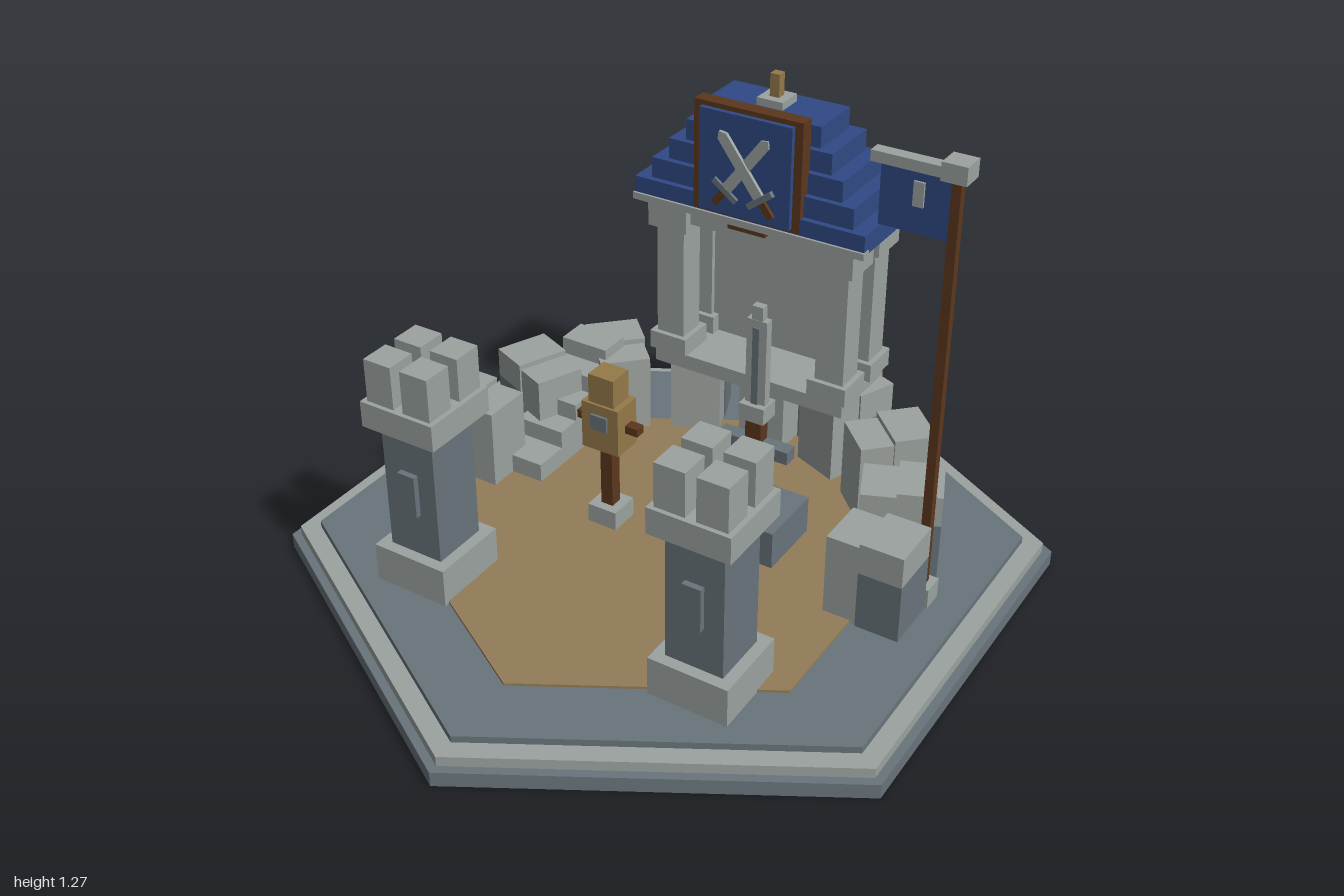
import * as THREE from 'three';

const mat = (name, color) => {
  const m = new THREE.MeshStandardMaterial({ color });
  m.name = name;
  return m;
};

export function createModel() {
  const root = new THREE.Group();
  root.name = 'trainingGround';
  const light = mat('light stone', 0x9ca39f);
  const dark = mat('dark stone', 0x69747b);
  const blue = mat('blue cloth', 0x304a85);
  const sand = mat('sand', 0x927d58);
  const wood = mat('wood', 0x5c371d);
  const straw = mat('straw', 0x957a4a);

  const group = (name, x = 0, y = 0, z = 0, parent = root) => {
    const g = new THREE.Group();
    g.name = name;
    g.position.set(x, y, z);
    parent.add(g);
    return g;
  };
  // box given by its ranges in x, y and z
  const box = (parent, name, m, x0, x1, y0, y1, z0, z1) => {
    const b = new THREE.Mesh(new THREE.BoxGeometry(x1 - x0, y1 - y0, z1 - z0), m);
    b.position.set((x0 + x1) / 2, (y0 + y1) / 2, (z0 + z1) / 2);
    b.name = name;
    parent.add(b);
    return b;
  };
  // box centred on the group's axis
  const block = (parent, name, m, w, y0, y1, d = w) =>
    box(parent, name, m, -w / 2, w / 2, y0, y1, -d / 2, d / 2);
  const hex = (name, m, r, y0, y1, z = 0) => {
    const g = new THREE.CylinderGeometry(r, r, y1 - y0, 6).toNonIndexed();
    g.computeVertexNormals();
    const h = new THREE.Mesh(g, m);
    h.position.set(0, (y0 + y1) / 2, z);
    h.name = name;
    root.add(h);
  };

  // Hexagonal ground
  hex('basePlate', dark, 1, 0, 0.04);
  hex('baseRim', light, 0.975, 0.04, 0.067);
  hex('groundSlab', dark, 0.92, 0.067, 0.085);
  hex('sandFloor', sand, 0.663, 0.085, 0.092, 0.058);

  // Two front towers
  for (const s of [-1, 1]) {
    const t = group('tower', s * 0.402, 0, 0.458);
    block(t, 'towerFoot', light, 0.213, 0.085, 0.19);
    block(t, 'towerShaft', dark, 0.153, 0.19, 0.54);
    block(t, 'towerTop', light, 0.215, 0.54, 0.61);
    for (const i of [-1, 1]) for (const j of [-1, 1]) {
      const m = block(t, 'merlon', light, 0.08, 0.61, 0.725);
      m.position.x = i * 0.054;
      m.position.z = j * 0.056;
    }
    box(t, 'arrowSlit', dark, -0.025, 0.025, 0.31, 0.427, 0.07, 0.092);
  }

  // Half ring of wall stones
  for (let i = 0; i <= 8; i++) {
    const a = i * Math.PI / 8;
    const s = group('wallStone', Math.cos(a) * 0.59, 0, 0.02 - Math.sin(a) * 0.59);
    s.rotation.y = a;
    box(s, 'outerStone', dark, 0, 0.115, 0.085, 0.245, -0.075, 0.075);
    box(s, 'capStone', light, 0, 0.115, 0.245, 0.33, -0.075, 0.075);
    box(s, 'innerStone', light, -0.09, 0.01, 0.085, 0.315, -0.07, 0.07);
  }

  // Stairs along the left-hand wall
  const stairs = group('stairs');
  const edges = [0.01, -0.09, -0.16, -0.235, -0.31, -0.4];
  for (let i = 0; i < 5; i++)
    box(stairs, 'step', light, -0.55, -0.405, 0.085, 0.145 + i * 0.05, edges[i + 1], edges[i]);

  // Gatehouse
  const house = group('gatehouse');
  box(house, 'floor', light, -0.29, 0.29, 0.315, 0.358, -0.635, -0.39);
  box(house, 'backWall', light, -0.22, 0.22, 0.35, 0.82, -0.61, -0.56);
  for (const s of [-1, 1]) for (const z of [-0.437, -0.587]) {
    const p = group('pillar', s * 0.245, 0, z, house);
    block(p, 'pillarFoot', light, 0.113, 0.358, 0.41);
    block(p, 'pillarShaft', light, 0.083, 0.39, 0.76);
    block(p, 'pillarHead', light, 0.118, 0.735, 0.82);
  }
  box(house, 'frontBeam', light, -0.19, 0.19, 0.757, 0.82, -0.47, -0.4);
  box(house, 'eave', light, -0.34, 0.34, 0.81, 0.829, -0.39, -0.36);

  // Stepped roof
  const roof = group('roof', 0, 0, -0.512, house);
  for (let i = 0; i < 5; i++)
    block(roof, 'roofTier', blue, 0.675 - i * 0.084, 0.817 + i * 0.057, 0.874 + i * 0.057, 0.29 - i * 0.034);
  block(roof, 'finialPlate', light, 0.075, 1.1, 1.123);
  block(roof, 'finial', straw, 0.027, 1.12, 1.185);

  // Sign with crossed swords
  const sign = group('sign', 0, 0, 0, house);
  box(sign, 'signFrame', wood, -0.156, 0.156, 0.832, 1.133, -0.407, -0.366);
  box(sign, 'signPanel', blue, -0.133, 0.133, 0.842, 1.12, -0.37, -0.352);
  box(sign, 'signPeg', wood, -0.055, 0.055, 0.793, 0.82, -0.4, -0.37);
  for (const s of [-1, 1]) {
    const w = group('signSword', 0, 0.98, -0.348 + s * 0.003, sign);
    w.rotation.z = s * 0.64;
    box(w, 'blade', light, -0.015, 0.015, -0.085, 0.1, -0.005, 0.005);
    const tip = box(w, 'bladeTip', light, -0.0106, 0.0106, -0.0106, 0.0106, -0.005, 0.005);
    tip.position.y = 0.1;
    tip.rotation.z = Math.PI / 4;
    box(w, 'guard', dark, -0.042, 0.042, -0.096, -0.08, -0.006, 0.007);
    box(w, 'grip', wood, -0.01, 0.01, -0.142, -0.094, -0.005, 0.005);
  }

  // Straw practice dummy
  const dummy = group('dummy', -0.153, 0, 0.045);
  block(dummy, 'dummyFoot', light, 0.085, 0.085, 0.145);
  block(dummy, 'dummyPost', wood, 0.035, 0.14, 0.34);
  block(dummy, 'dummyBody', straw, 0.11, 0.325, 0.46, 0.085);
  block(dummy, 'dummyHead', straw, 0.075, 0.46, 0.54, 0.07);
  box(dummy, 'dummyArms', wood, -0.092, 0.092, 0.38, 0.402, -0.02, 0.01);
  box(dummy, 'dummyTarget', dark, -0.024, 0.024, 0.39, 0.432, 0.04, 0.05);

  // Sword monument
  const mon = group('swordMonument', 0.205, 0, -0.083);
  block(mon, 'plinth', dark, 0.215, 0.085, 0.197, 0.19);
  block(mon, 'pommel', light, 0.068, 0.197, 0.245, 0.06);
  block(mon, 'hilt', wood, 0.044, 0.24, 0.465, 0.035);
  block(mon, 'crossguard', dark, 0.2, 0.36, 0.395, 0.04);
  block(mon, 'collar', light, 0.07, 0.46, 0.505, 0.06);
  block(mon, 'swordBlade', light, 0.056, 0.5, 0.74, 0.024);
  block(mon, 'bladeRidge', dark, 0.018, 0.5, 0.72, 0.034);
  block(mon, 'swordTip', light, 0.03, 0.74, 0.777, 0.022);

  // Flagpole with hanging banner
  const flag = group('flagpole', 0.681, 0, -0.088);
  block(flag, 'poleFoot', light, 0.06, 0.085, 0.14);
  block(flag, 'pole', wood, 0.023, 0.13, 1.23);
  block(flag, 'poleCap', light, 0.062, 1.225, 1.27);
  box(flag, 'crossbar', light, -0.205, -0.03, 1.225, 1.252, -0.017, 0.017);
  box(flag, 'banner', blue, -0.182, -0.011, 1.073, 1.228, -0.006, 0.006);
  for (const s of [-1, 1]) {
    const z = s * 0.008;
    box(flag, 'bannerBadge', light, -0.1, -0.074, 1.14, 1.2, z - 0.004, z + 0.004);
  }
  return root;
}
